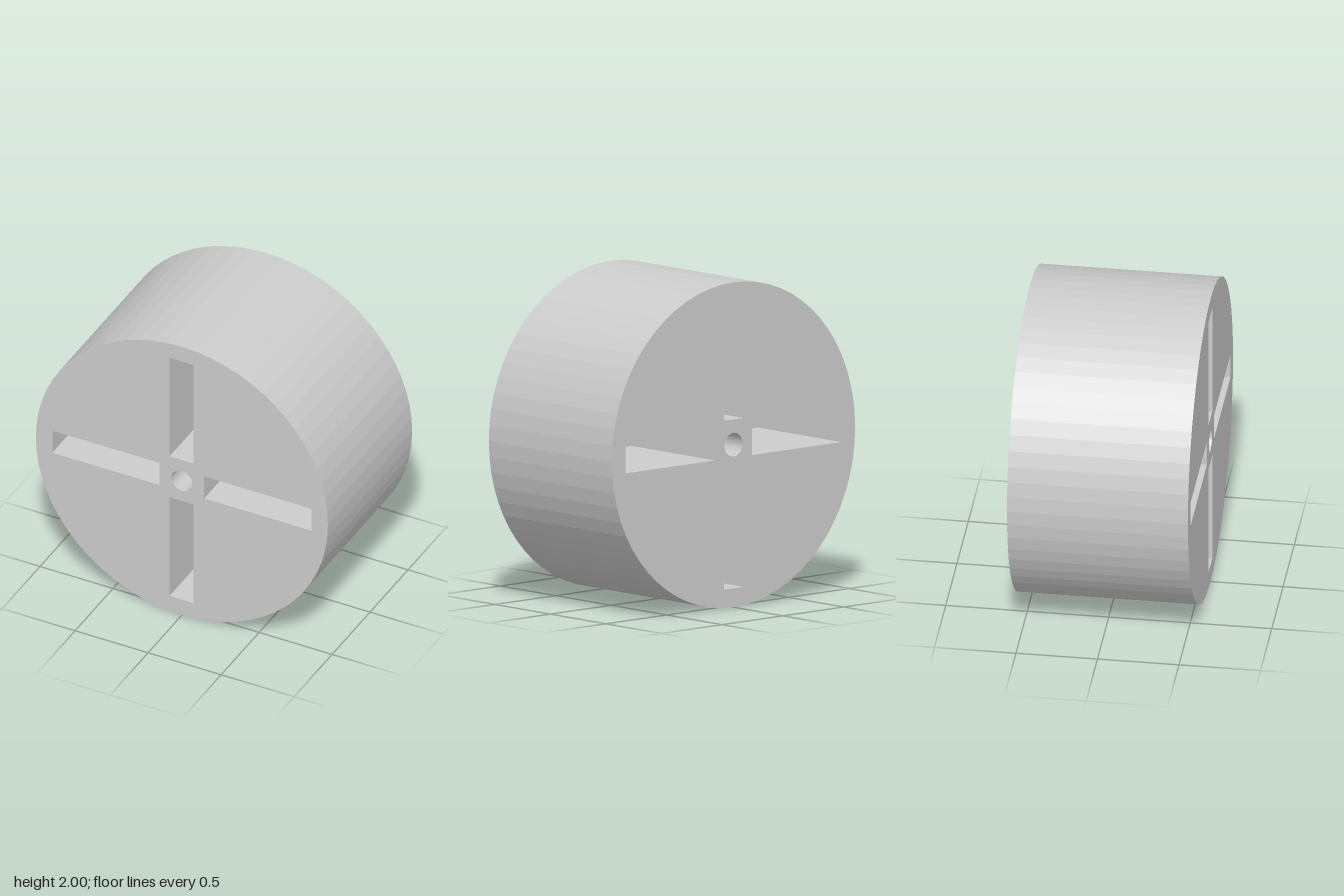
import * as THREE from 'three';

const RADIUS = 1, DEPTH = 1.11, BORE = 0.073;
const SLOT_IN = 0.153, SLOT_OUT = 0.887, SLOT_HALF = 0.082;

// Closed rectangular hole
function rectPath(x0, y0, x1, y1) {
  return new THREE.Path([[x0, y0], [x0, y1], [x1, y1], [x1, y0]].map(([x, y]) => new THREE.Vector2(x, y)));
}

export function createModel() {
  const group = new THREE.Group();
  group.name = 'slottedDrum';

  // Round outline, 64 facets
  const outline = new THREE.Shape();
  outline.absarc(0, 0, RADIUS, 0, Math.PI * 2, false);

  // Central bore
  const bore = new THREE.Path();
  bore.absarc(0, 0, BORE, 0, Math.PI * 2, true);
  outline.holes.push(bore);

  // Four through slots in a cross, mirrored about the bore
  for (const s of [-1, 1]) {
    const a = Math.min(s * SLOT_IN, s * SLOT_OUT), b = Math.max(s * SLOT_IN, s * SLOT_OUT);
    outline.holes.push(rectPath(a, -SLOT_HALF + 0.002, b, SLOT_HALF + 0.002));
    outline.holes.push(rectPath(-SLOT_HALF - 0.002, a + 0.003, SLOT_HALF - 0.002, b + 0.003));
  }

  const geometry = new THREE.ExtrudeGeometry(outline, { depth: DEPTH, bevelEnabled: false, curveSegments: 32 });
  geometry.translate(0, RADIUS, -DEPTH / 2);
  const drum = new THREE.Mesh(geometry, new THREE.MeshStandardMaterial({ color: 0xcccccc, flatShading: true }));
  drum.name = 'drum';
  group.add(drum);
  return group;
}
